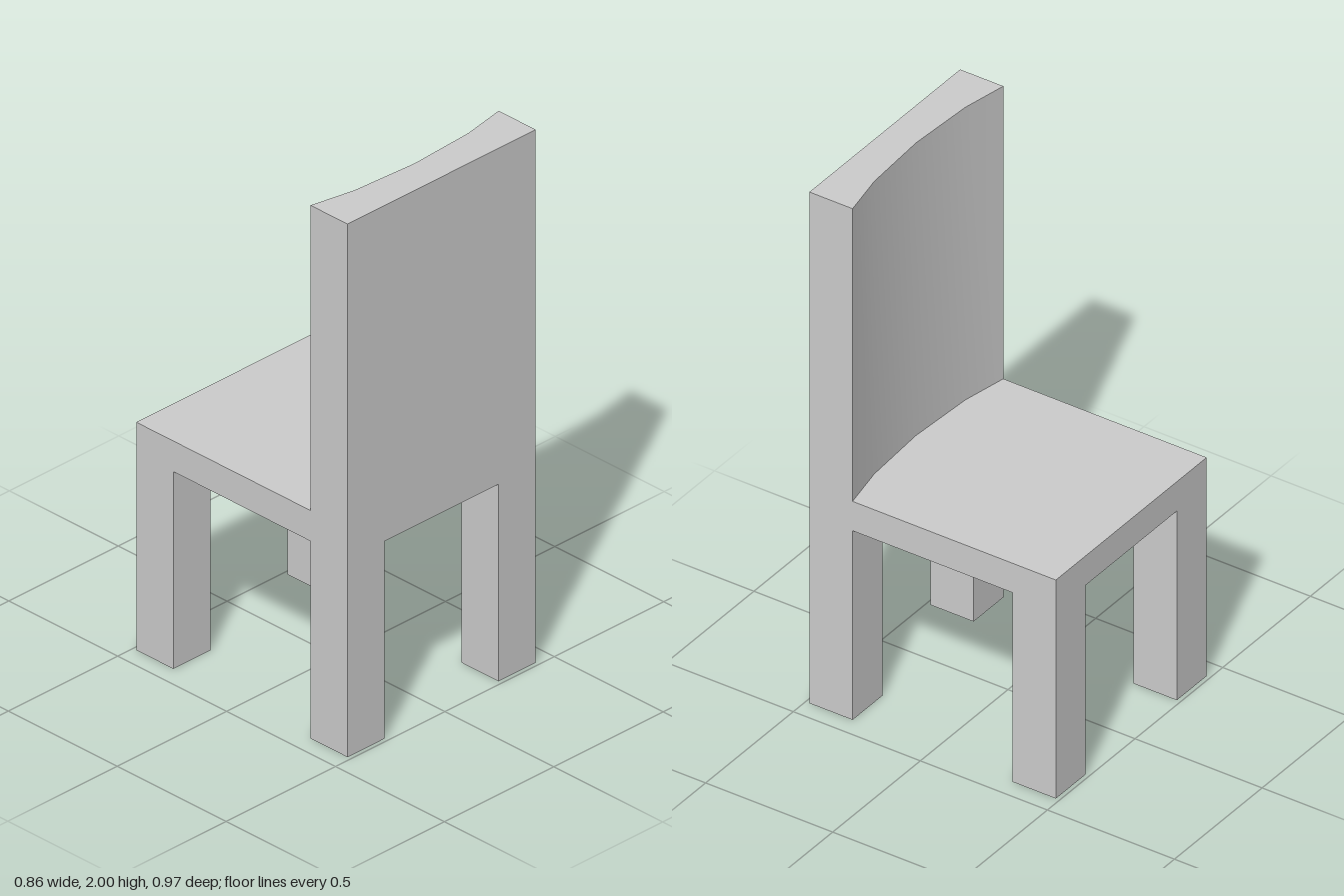
import * as THREE from 'three';
import { toCreasedNormals } from 'three/addons/utils/BufferGeometryUtils.js';

const W = 0.43;        // half width
const D = 0.485;       // half depth
const LEG = 0.17;      // leg thickness
const SEAT_BOTTOM = 0.74;
const SEAT_TOP = 0.855;
const HEIGHT = 2;

export function createModel() {
  const chair = new THREE.Group();
  chair.name = 'chair';
  const material = new THREE.MeshStandardMaterial({ color: 0xcccccc });

  const add = (name, geometry, x, y, z) => {
    const mesh = new THREE.Mesh(geometry, material);
    mesh.name = name;
    mesh.position.set(x, y, z);
    chair.add(mesh);
  };

  // Seat slab
  const seatHeight = SEAT_TOP - SEAT_BOTTOM;
  add('seat', new THREE.BoxGeometry(2 * W, seatHeight, 2 * D), 0, SEAT_BOTTOM + seatHeight / 2, 0);

  // Four square legs, flush with the seat corners
  const legGeometry = new THREE.BoxGeometry(LEG, SEAT_BOTTOM, LEG);
  for (const sx of [-1, 1]) {
    for (const sz of [-1, 1]) {
      const name = (sz > 0 ? 'backrest' : 'open') + 'Side' + (sx > 0 ? 'Left' : 'Right') + 'Leg';
      add(name, legGeometry, sx * (W - LEG / 2), SEAT_BOTTOM / 2, sz * (D - LEG / 2));
    }
  }

  // Backrest on the +z edge: flat outside, gently hollowed towards the seat
  const outline = [
    [-W, D], [W, D], [W, 0.315], [0.26, 0.347], [0, 0.362], [-0.26, 0.347], [-W, 0.315],
  ].map(([x, z]) => new THREE.Vector2(x, -z));
  const backrest = new THREE.ExtrudeGeometry(new THREE.Shape(outline), {
    depth: HEIGHT - SEAT_TOP,
    bevelEnabled: false,
  });
  backrest.rotateX(-Math.PI / 2);
  add('backrest', toCreasedNormals(backrest, 0.5), 0, SEAT_TOP, 0);

  return chair;
}
